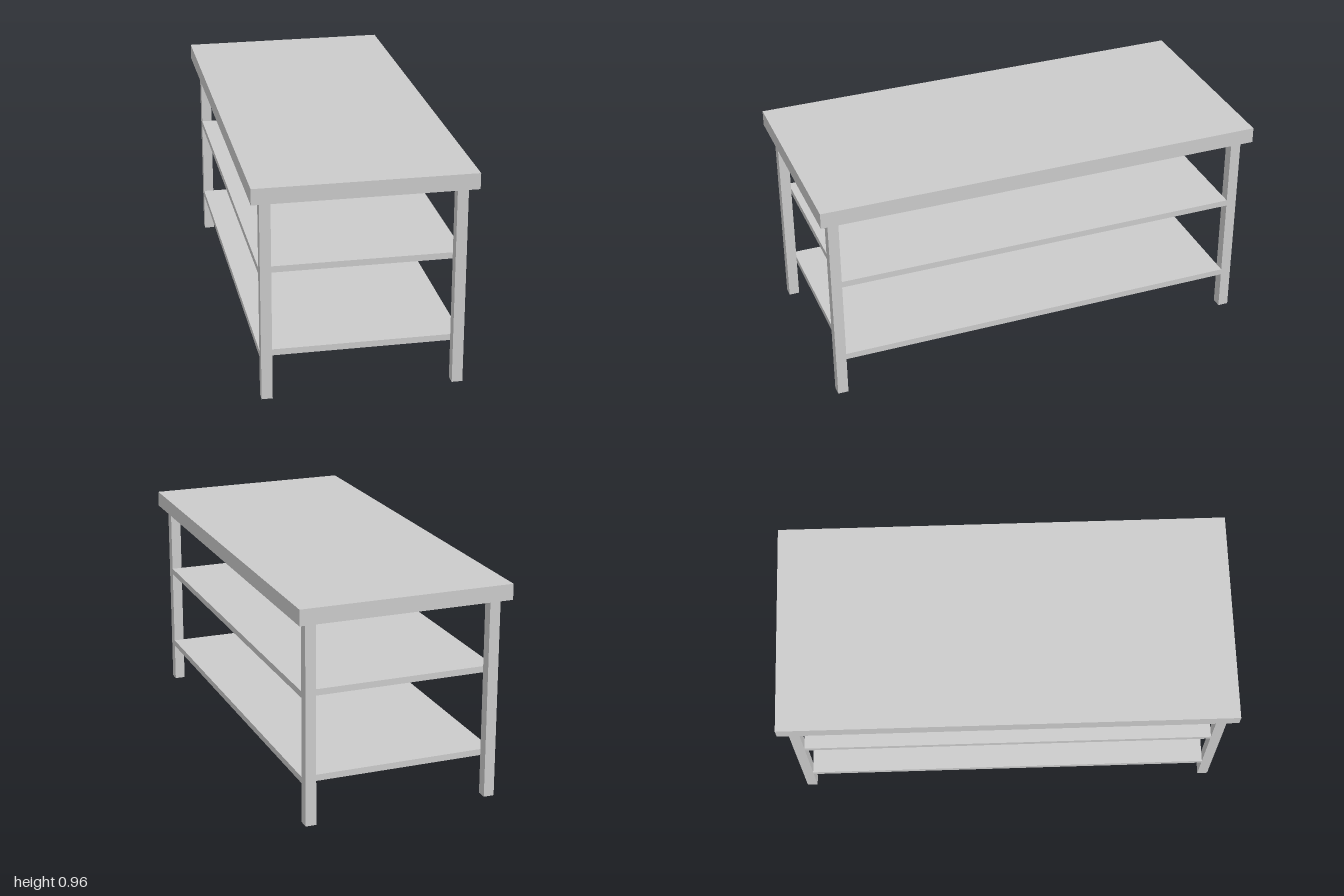
import * as THREE from 'three';

export function createModel() {
  const table = new THREE.Group();
  table.name = 'workTable';
  const material = new THREE.MeshStandardMaterial({ color: 0xcccccc, flatShading: true });

  // Adds a box given its size, its centre in x and z, and its underside height
  const addBox = (name, width, height, depth, x, bottom, z) => {
    const mesh = new THREE.Mesh(new THREE.BoxGeometry(width, height, depth), material);
    mesh.name = name;
    mesh.position.set(x, bottom + height / 2, z);
    table.add(mesh);
  };

  const legSize = 0.047, legX = 0.411, legZ = 0.939, legHeight = 0.895;

  // Thick worktop overhanging the legs
  addBox('tabletop', 0.945, 0.07, 2, 0, legHeight, 0);

  // Four square legs
  for (const [sideX, nameX] of [[1, 'Left'], [-1, 'Right']]) {
    for (const [sideZ, nameZ] of [[1, 'front'], [-1, 'back']]) {
      addBox(`${nameZ}${nameX}Leg`, legSize, legHeight, legSize, sideX * legX, 0, sideZ * legZ);
    }
  }

  // Two shelves: flush with the legs' outer sides, ending at their inner faces in z
  const shelfWidth = 2 * legX + legSize;
  const shelfDepth = 2 * legZ - legSize;
  for (const [name, bottom] of [['lowerShelf', 0.177], ['upperShelf', 0.557]]) {
    addBox(name, shelfWidth, 0.028, shelfDepth, 0, bottom, 0);
  }

  return table;
}
